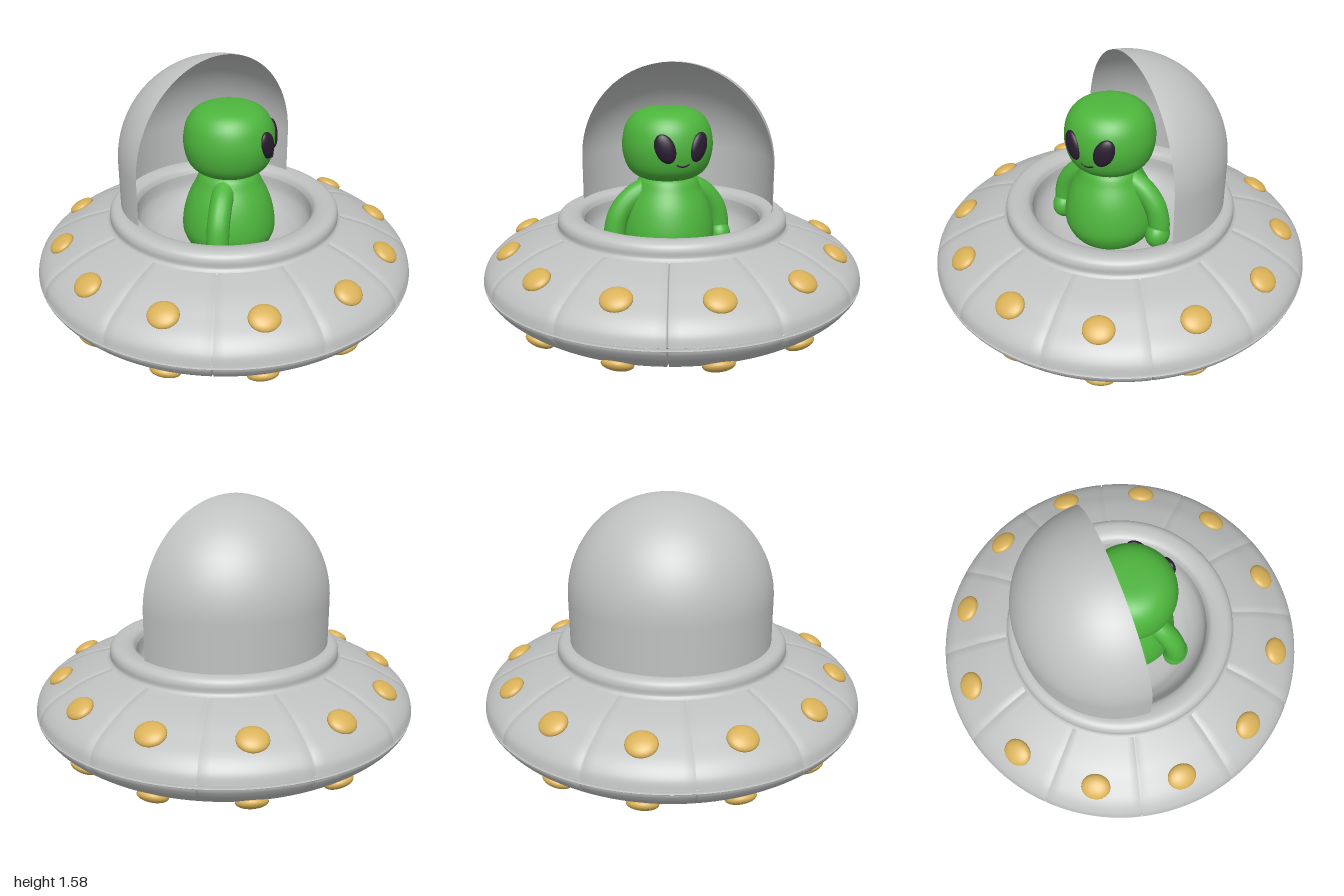
import * as THREE from 'three';

const mat = (name, color, side = THREE.FrontSide) => {
  const m = new THREE.MeshStandardMaterial({ color, side });
  m.name = name;
  return m;
};

const v2 = (pts) => pts.map(([r, y]) => new THREE.Vector2(r, y));
const smooth = (pts, n = 32) => {
  const out = new THREE.SplineCurve(v2(pts)).getPoints(n);
  out.forEach((p) => { p.x = Math.max(p.x, 0); });
  return out;
};

// Lathe shell cut by twelve narrow radial panel grooves
function groovedLathe(profile) {
  const panels = 12, steps = 12, width = 0.012, depth = 0.014;
  const geo = new THREE.LatheGeometry(profile, panels * steps);
  const pos = geo.attributes.position, nor = geo.attributes.normal;
  const n = profile.length;
  for (let i = 0; i <= panels * steps; i++) {
    const k = i % steps;
    const frac = k === 0 ? 0 : width + (1 - 2 * width) * (k - 1) / (steps - 2);
    const a = (Math.floor(i / steps) + frac + 0.5) * Math.PI * 2 / panels;
    const old = i * Math.PI * 2 / (panels * steps);
    for (let j = 0; j < n; j++) {
      const id = i * n + j, p = profile[j];
      const nr = nor.getX(id) * Math.sin(old) + nor.getZ(id) * Math.cos(old);
      const d = k === 0 ? depth : 0;
      const r = p.x - nr * d;
      pos.setXYZ(id, r * Math.sin(a), p.y - nor.getY(id) * d, r * Math.cos(a));
    }
  }
  geo.computeVertexNormals();
  return geo;
}

export function createModel() {
  const root = new THREE.Group();
  root.name = 'flyingSaucer';
  const grey = mat('hullGrey', 0xbfc1c0);
  const shellGrey = mat('shellGrey', 0xbfc1c0, THREE.DoubleSide);
  const gold = mat('lampGold', 0xd9b158);
  const teal = mat('thrusterTeal', 0x4fc8c2);
  const green = mat('alienGreen', 0x4db53c);
  const dark = mat('eyeDark', 0x2a1c30);

  const add = (parent, name, geo, material) => {
    const m = new THREE.Mesh(geo, material);
    m.name = name;
    parent.add(m);
    return m;
  };
  const ball = new THREE.SphereGeometry(1, 32, 20);

  // Saucer body: panelled halves meeting at a seam groove
  const lower = smooth([[0.49, 0.21], [0.62, 0.235], [0.75, 0.28], [0.865, 0.335], [0.95, 0.4], [0.99, 0.45], [1, 0.475]]);
  const upper = smooth([[1, 0.49], [0.985, 0.54], [0.94, 0.59], [0.865, 0.635], [0.75, 0.69], [0.57, 0.742]]);
  add(root, 'lowerHull', groovedLathe(lower), grey);
  add(root, 'upperHull', groovedLathe(upper), grey);
  add(root, 'hullSeam', new THREE.LatheGeometry(v2([[1, 0.475], [0.985, 0.482], [1, 0.49]]), 144), grey);

  // Shallow belly dish and thruster
  add(root, 'bellyDish', new THREE.LatheGeometry(
    smooth([[0, 0.088], [0.15, 0.093], [0.3, 0.118], [0.42, 0.16], [0.5, 0.21], [0.51, 0.226]]), 96), grey);
  const thruster = add(root, 'thruster', ball, teal);
  thruster.scale.set(0.135, 0.085, 0.135);
  thruster.position.y = 0.085;

  // Rounded cockpit rim running into the bowl
  add(root, 'cockpitRim', new THREE.LatheGeometry(smooth([
    [0.625, 0.725], [0.607, 0.742], [0.606, 0.775], [0.594, 0.8], [0.565, 0.814],
    [0.52, 0.812], [0.485, 0.798], [0.468, 0.77]], 40), 96), grey);
  add(root, 'cockpitBowl', new THREE.LatheGeometry(
    smooth([[0.468, 0.77], [0.455, 0.69], [0.4, 0.62], [0.3, 0.58], [0, 0.57]]), 96), grey);

  // Rings of lamps above and below the edge
  for (let i = 0; i < 12; i++) {
    const spoke = new THREE.Group();
    spoke.name = 'lampPair';
    spoke.rotation.y = i * Math.PI / 6;
    root.add(spoke);
    for (const [name, y, tilt] of [['upperLamp', 0.638, 0.5], ['lowerLamp', 0.331, Math.PI - 0.5]]) {
      const lamp = add(spoke, name, ball, gold);
      lamp.scale.set(0.076, 0.032, 0.068);
      lamp.position.set(0, y, 0.866);
      lamp.rotation.x = tilt;
    }
  }

  // Open half canopy behind the pilot
  const dome = [[0.528, 0.79]];
  for (let i = 0; i <= 28; i++) {
    const a = i / 28 * Math.PI / 2;
    dome.push([0.528 * Math.cos(a), 1.05 + 0.528 * Math.sin(a)]);
  }
  const canopy = add(root, 'canopy', new THREE.LatheGeometry(v2(dome), 64, Math.PI / 2, Math.PI), shellGrey);
  canopy.position.z = -0.044;
  canopy.scale.z = 0.96;

  // Alien pilot, turned towards its left
  const alien = new THREE.Group();
  alien.name = 'alien';
  alien.position.set(-0.01, 0, 0.05);
  alien.rotation.y = 0.64;
  root.add(alien);
  add(alien, 'body', new THREE.LatheGeometry(smooth([
    [0, 0.56], [0.17, 0.57], [0.235, 0.65], [0.243, 0.74], [0.218, 0.85], [0.175, 0.94], [0.13, 1.01], [0, 1.04]]), 48), green);
  add(alien, 'head', new THREE.LatheGeometry(smooth([
    [0, 0.99], [0.1, 0.994], [0.165, 1.016], [0.208, 1.06], [0.23, 1.13], [0.232, 1.2],
    [0.213, 1.275], [0.168, 1.33], [0.1, 1.356], [0, 1.36]], 40), 48), green);

  for (const s of [-1, 1]) {
    // Arms hang outwards and end in rounded hands
    const path = new THREE.CatmullRomCurve3([[0.11, 0.95], [0.2, 0.9], [0.265, 0.82], [0.29, 0.73], [0.29, 0.67]]
      .map(([x, y]) => new THREE.Vector3(s * x, y, 0)));
    add(alien, 'arm', new THREE.TubeGeometry(path, 24, 0.058, 16), green);
    const shoulder = add(alien, 'shoulder', ball, green);
    shoulder.scale.setScalar(0.058);
    shoulder.position.set(s * 0.11, 0.95, 0);
    const hand = add(alien, 'hand', ball, green);
    hand.scale.set(0.064, 0.075, 0.075);
    hand.position.set(s * 0.29, 0.66, 0.01);

    // Slanted almond eyes
    const socket = new THREE.Group();
    socket.name = 'eyeSocket';
    socket.rotation.y = s * 0.4;
    alien.add(socket);
    const eye = add(socket, 'eye', ball, dark);
    eye.scale.set(0.05, 0.076, 0.025);
    eye.position.set(0, 1.185, 0.226);
    eye.rotation.z = -s * 0.38;
  }

  // Small smile wrapped on the face
  const smile = new THREE.CatmullRomCurve3([-0.15, -0.08, 0, 0.08, 0.15].map((a) =>
    new THREE.Vector3(0.225 * Math.sin(a), 1.093 + 0.5 * a * a, 0.223 * Math.cos(a))));
  add(alien, 'mouth', new THREE.TubeGeometry(smile, 16, 0.004, 6), dark);
  return root;
}
